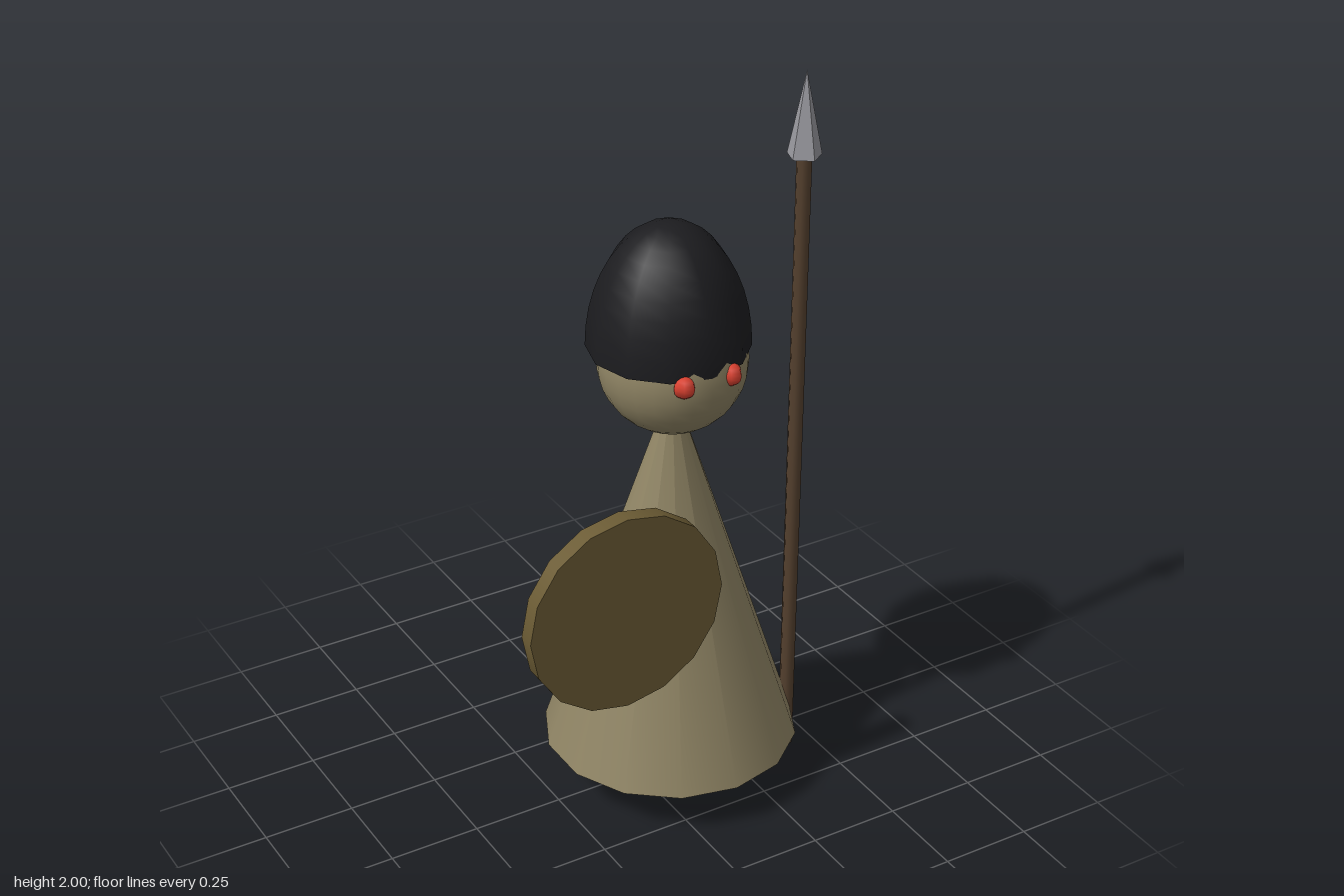
import * as THREE from 'three';

const mat = (color, extra = {}) => {
  const m = new THREE.MeshStandardMaterial({ color });
  return Object.assign(m, extra);
};

export function createModel() {
  const model = new THREE.Group();
  const cloth = mat(0x8f8464, { side: THREE.DoubleSide });
  const black = mat(0x1c1c1f, { side: THREE.DoubleSide });
  const red = mat(0xd8402f);
  const bronze = mat(0x6b5b34);
  const wood = mat(0x54402e);
  const steel = mat(0x98989e, { flatShading: true });

  const add = (name, geometry, material, x, y, z) => {
    const mesh = new THREE.Mesh(geometry, material);
    mesh.name = name;
    mesh.position.set(x, y, z);
    model.add(mesh);
    return mesh;
  };

  // Robe: open cone whose tip runs into the head
  add('robe', new THREE.ConeGeometry(0.345, 1.06, 14, 1, true), cloth, 0.1, 0.13 + 0.53, 0);

  // Head
  add('head', new THREE.SphereGeometry(0.195, 24, 18), cloth, 0.1, 1.26, 0);

  // Helmet: stretched open hemisphere
  const dome = new THREE.SphereGeometry(0.212, 12, 10, 0, Math.PI * 2, 0, Math.PI / 2);
  dome.scale(1, 0.34 / 0.212, 1);
  add('helmet', dome, black, 0.098, 1.29, -0.017);

  // Eyes
  for (const [name, side] of [['rightEye', -1], ['leftEye', 1]]) {
    add(name, new THREE.SphereGeometry(0.03, 6, 8), red, 0.097 + side * 0.068, 1.275, 0.174);
  }

  // Round shield facing forward
  const disc = new THREE.CylinderGeometry(0.277, 0.277, 0.046, 16);
  disc.rotateX(Math.PI / 2);
  add('shield', disc, bronze, -0.198, 0.743, 0.262);

  // Spear
  add('spearShaft', new THREE.CylinderGeometry(0.02, 0.02, 1.78, 8), wood, 0.426, 0.89, 0.083);
  add('spearHead', new THREE.ConeGeometry(0.046, 0.225, 5), steel, 0.426, 1.8875, 0.083);

  return model;
}
